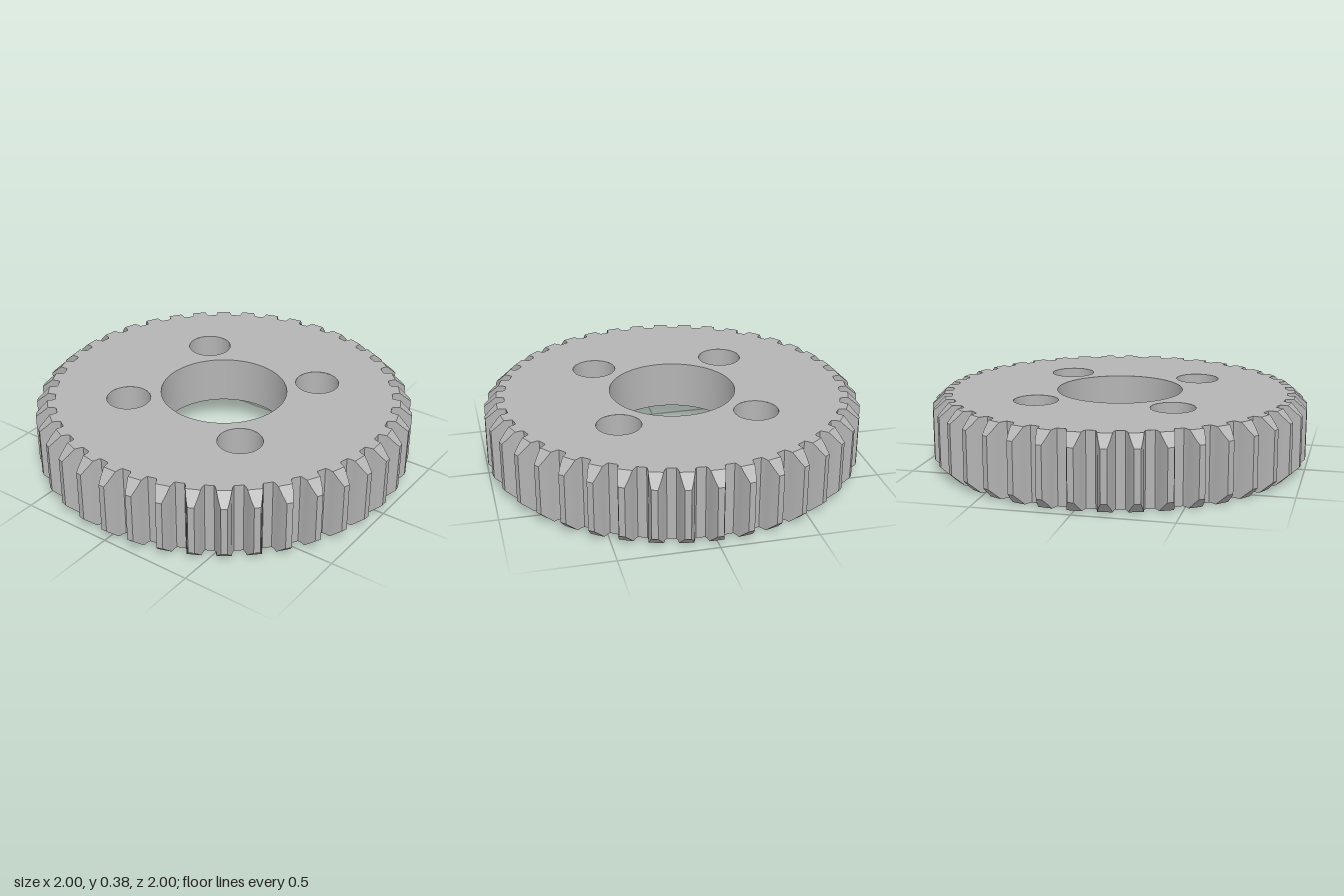
import * as THREE from 'three';
import { toCreasedNormals } from 'three/addons/utils/BufferGeometryUtils.js';

const TEETH = 40, HEIGHT = 0.385, FLOOR = 0.13;
const BORE = 0.335, RECESS = 0.707, BOLT = 0.116, BOLT_POS = 0.36;
const CHAMFER_R = 0.935, CHAMFER_H = 0.06;
// Half tooth profile, root to tip: [radius, half width]
const FLANK = [[0.893, 0.047], [0.905, 0.041], [CHAMFER_R, 0.0365], [0.97, 0.027], [1, 0.016]];
const BOLTS = [[1, 1], [1, -1], [-1, -1], [-1, 1]].map(([x, z]) => [x * BOLT_POS, z * BOLT_POS]);

// Height of the end chamfer cone at a given radius
const lift = r => Math.max(0, (r - CHAMFER_R) / (1 - CHAMFER_R)) * CHAMFER_H;

// Closed gear outline as polar points [radius, angle], counter-clockwise
function gearOutline() {
  const pts = [];
  for (let i = 0; i < TEETH; i++) {
    const a = (i / TEETH) * Math.PI * 2;
    for (const [r, w] of FLANK) pts.push([r, a - w / r]);
    for (const [r, w] of [...FLANK].reverse()) pts.push([r, a + w / r]);
    pts.push([FLANK[0][0], a + Math.PI / TEETH]);
  }
  return pts;
}

// Tooth flanks, tips and root, plus the chamfer faces on both ends
function toothGeometry(outline) {
  const pos = [];
  const at = ([r, a], top) => [r * Math.cos(a), top ? HEIGHT - lift(r) : lift(r), -r * Math.sin(a)];
  const quad = (a, b, c, d) => pos.push(...a, ...b, ...c, ...a, ...c, ...d);
  outline.forEach((p, i) => {
    const q = outline[(i + 1) % outline.length];
    quad(at(p, false), at(q, false), at(q, true), at(p, true));
  });
  for (let i = 0; i < TEETH; i++) {
    const a = (i / TEETH) * Math.PI * 2;
    for (let k = 2; k < FLANK.length - 1; k++) {
      const [[r1, w1], [r2, w2]] = [FLANK[k], FLANK[k + 1]];
      const c = [[r1, a - w1 / r1], [r2, a - w2 / r2], [r2, a + w2 / r2], [r1, a + w1 / r1]];
      quad(...c.map(p => at(p, true)));
      quad(...c.reverse().map(p => at(p, false)));
    }
  }
  const g = new THREE.BufferGeometry();
  g.setAttribute('position', new THREE.Float32BufferAttribute(pos, 3));
  return toCreasedNormals(g, 0.45);
}

function circlePath(x, y, r) {
  return new THREE.Path().absarc(x, y, r, 0, Math.PI * 2, true);
}

// Flat face lying in the xz plane, facing up or down
function flatFace(shape, holes, y, up) {
  shape.holes.push(...holes);
  return new THREE.ShapeGeometry(shape, 36).rotateX(up ? -Math.PI / 2 : Math.PI / 2).translate(0, y, 0);
}

// Inward-facing round wall
function holeWall(r, y0, y1, segments) {
  return new THREE.LatheGeometry([new THREE.Vector2(r, y1), new THREE.Vector2(r, y0)], segments);
}

export function createModel() {
  const steel = new THREE.MeshStandardMaterial({ color: 0xb4b4b4 });
  steel.name = 'steelGrey';
  const gear = new THREE.Group();
  gear.name = 'spurGear';
  const add = (name, geometry, x = 0, z = 0) => {
    const mesh = new THREE.Mesh(geometry, steel);
    mesh.name = name;
    mesh.position.set(x, 0, z);
    gear.add(mesh);
  };

  // Toothed rim
  const outline = gearOutline();
  add('teeth', toothGeometry(outline));

  // End faces stop at the inner edge of the chamfers
  const capShape = () => new THREE.Shape(outline.filter(([r]) => r <= CHAMFER_R)
    .map(([r, a]) => new THREE.Vector2(r * Math.cos(a), r * Math.sin(a))));
  const webHoles = () => [circlePath(0, 0, BORE), ...BOLTS.map(([x, z]) => circlePath(x, z, BOLT))];
  add('topFace', flatFace(capShape(), webHoles(), HEIGHT, true));
  add('bottomRimFace', flatFace(capShape(), [circlePath(0, 0, RECESS)], 0, false));

  // Recess in the underside
  const disc = new THREE.Shape().absarc(0, 0, RECESS, 0, Math.PI * 2, false);
  add('recessFloor', flatFace(disc, webHoles(), FLOOR, false));
  add('recessWall', holeWall(RECESS, 0, FLOOR, 72));

  // Centre bore and bolt holes
  add('centreBore', holeWall(BORE, FLOOR, HEIGHT, 72));
  for (const [x, z] of BOLTS) add('boltHole', holeWall(BOLT, FLOOR, HEIGHT, 36), x, z);
  return gear;
}
